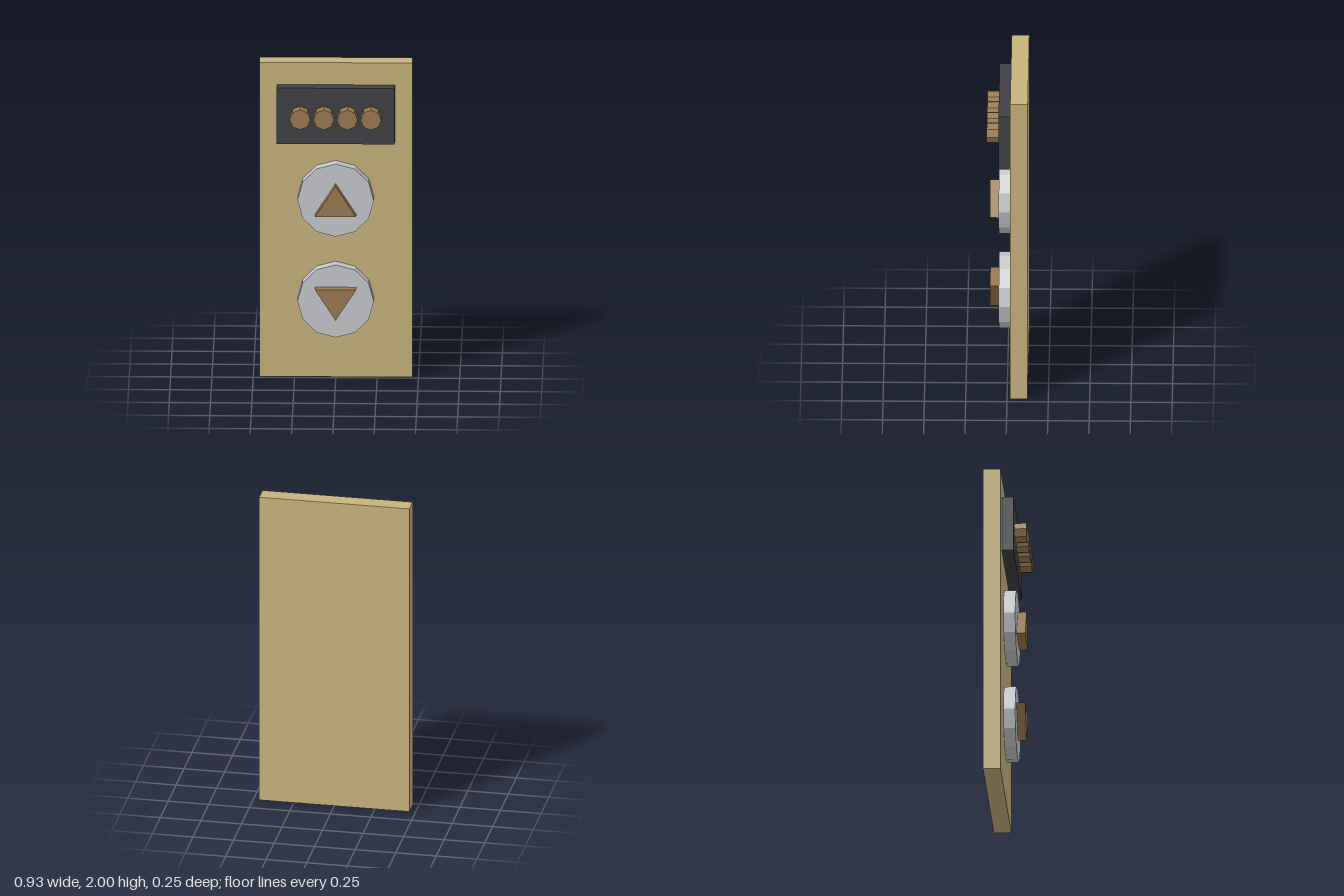
import * as THREE from 'three';

const flat = (name, color) => {
  const material = new THREE.MeshStandardMaterial({ color });
  material.name = name;
  return material;
};

export function createModel() {
  const brass = flat('brass', 0xc8b27c);
  const charcoal = flat('charcoal', 0x403f45);
  const silver = flat('silver', 0xc6c8cc);
  const bronze = flat('bronze', 0x9b7a51);

  const model = new THREE.Group();
  model.name = 'liftCallPanel';

  const PLATE_FRONT = -0.019, RAISED_FRONT = 0.053;

  const add = (parent, name, geometry, material, x, y, z) => {
    const mesh = new THREE.Mesh(geometry, material);
    mesh.name = name;
    mesh.position.set(x, y, z);
    parent.add(mesh);
    return mesh;
  };

  // Box spanning z0..z1, centred on x = 0
  const slab = (name, width, y0, y1, z0, z1, material) =>
    add(model, name, new THREE.BoxGeometry(width, y1 - y0, z1 - z0), material,
      0, (y0 + y1) / 2, (z0 + z1) / 2);

  // Faceted disc facing forward, with a corner at the top
  const disc = (radius, z0, z1, sides) => {
    const geometry = new THREE.CylinderGeometry(radius, radius, z1 - z0, sides)
      .rotateX(Math.PI / 2).translate(0, 0, (z0 + z1) / 2).toNonIndexed();
    geometry.computeVertexNormals();
    return geometry;
  };

  // Wall plate and display
  slab('wallPlate', 0.926, 0, 2, -0.125, PLATE_FRONT, brass);
  slab('display', 0.714, 1.505, 1.86, PLATE_FRONT, RAISED_FRONT, charcoal);

  // Row of indicator studs
  const stud = disc(0.0635, RAISED_FRONT, 0.125, 8);
  for (let i = 0; i < 4; i++) {
    add(model, 'indicatorStud', stud, bronze, (i - 1.5) * 0.143, 1.682, 0);
  }

  // Triangular arrow, apex up, relative to the button centre
  const triangle = new THREE.Shape([
    new THREE.Vector2(-0.125, -0.089),
    new THREE.Vector2(0.125, -0.089),
    new THREE.Vector2(0, 0.107),
  ]);
  const arrow = new THREE.ExtrudeGeometry(triangle, { depth: 0.054, bevelEnabled: false });

  // Up and down buttons
  const face = disc(0.231, PLATE_FRONT, RAISED_FRONT, 12);
  for (const [name, y, turn] of [['upButton', 1.147, 0], ['downButton', 0.505, Math.PI]]) {
    const button = new THREE.Group();
    button.name = name;
    button.position.y = y;
    add(button, 'buttonDisc', face, silver, 0, 0, 0);
    add(button, 'arrow', arrow, bronze, 0, 0, RAISED_FRONT).rotation.z = turn;
    model.add(button);
  }

  return model;
}
